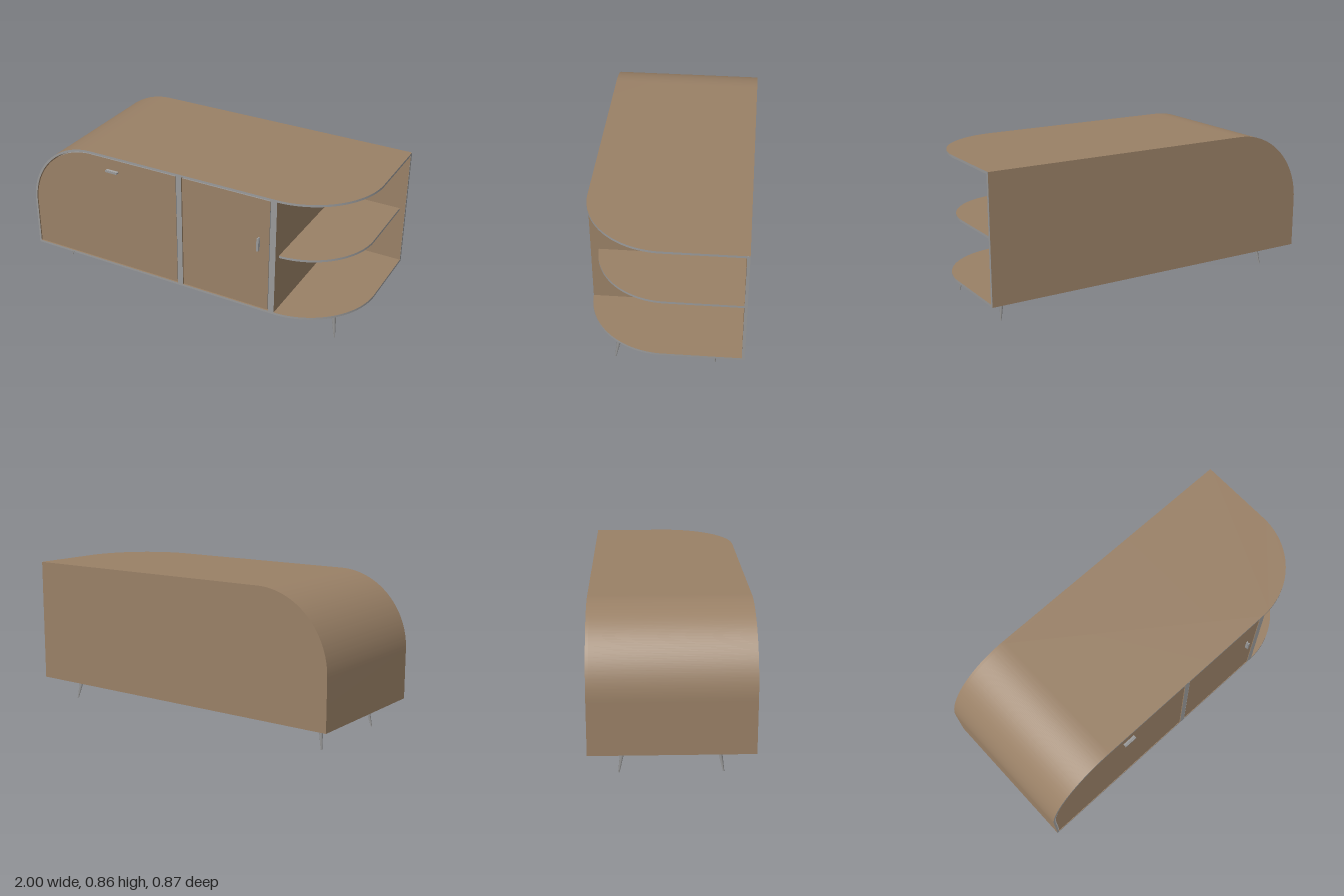
import * as THREE from 'three';
import { toCreasedNormals } from 'three/addons/utils/BufferGeometryUtils.js';

const Y0 = 0.147, Y1 = 0.858;          // cabinet bottom and top
const ZB = -0.436, ZI = -0.42, ZF = 0.42; // back, inner back, front
const T = 0.013, R = 0.425, SPLIT = 0.565;

export function createModel() {
  const model = new THREE.Group();
  model.name = 'sideboard';
  const wood = new THREE.MeshStandardMaterial({ color: 0x998066 });
  wood.name = 'wood';
  const grey = new THREE.MeshStandardMaterial({ color: 0x999999 });
  grey.name = 'greyEdge';

  const add = (name, geometry, material) => {
    const mesh = new THREE.Mesh(geometry, material);
    mesh.name = name;
    model.add(mesh);
    return mesh;
  };
  const extrude = (shape, depth) => toCreasedNormals(
    new THREE.ExtrudeGeometry(shape, { depth, bevelEnabled: false, curveSegments: 40 }), 0.4);
  const box = (name, x0, x1, y0, y1, z0, z1, material) => add(name,
    new THREE.BoxGeometry(x1 - x0, y1 - y0, z1 - z0)
      .translate((x0 + x1) / 2, (y0 + y1) / 2, (z0 + z1) / 2), material);

  // Front outline with a round upper left corner, inset by d
  const outline = (x1, d) => {
    const s = new THREE.Shape();
    s.moveTo(x1, Y0 + d);
    s.lineTo(x1, Y1 - d);
    s.lineTo(-1 + R, Y1 - d);
    s.absarc(-1 + R, Y1 - R, R - d, Math.PI / 2, Math.PI, false);
    s.lineTo(-1 + d, Y0 + d);
    s.closePath();
    return s;
  };

  // Curved outer shell, open towards the shelf end
  const shell = new THREE.Shape();
  shell.moveTo(SPLIT, Y1 - T);
  shell.lineTo(SPLIT, Y1);
  shell.lineTo(-1 + R, Y1);
  shell.absarc(-1 + R, Y1 - R, R, Math.PI / 2, Math.PI, false);
  shell.lineTo(-1, Y0);
  shell.lineTo(SPLIT, Y0);
  shell.lineTo(SPLIT, Y0 + T);
  shell.lineTo(-1 + T, Y0 + T);
  shell.lineTo(-1 + T, Y1 - R);
  shell.absarc(-1 + R, Y1 - R, R - T, Math.PI, Math.PI / 2, true);
  shell.closePath();
  add('shell', extrude(shell, ZF - ZI), [grey, wood]).position.z = ZI;

  // Back panel with a grey end strip
  add('backPanel', extrude(outline(0.999, 0), ZI - ZB), wood).position.z = ZB;
  box('backPanelEdge', 0.999, 1, Y0, Y1, ZB, ZI, grey);

  // Round-cornered boards of the open end, seen in plan
  const board = (name, x0, x1, zf, y) => {
    const r = x1 - 0.575, s = new THREE.Shape();
    s.moveTo(x0, -zf);
    s.lineTo(x1 - r, -zf);
    s.absarc(x1 - r, -zf + r, r, -Math.PI / 2, 0, false);
    s.lineTo(x1, -ZI);
    s.lineTo(x0, -ZI);
    s.closePath();
    add(name, extrude(s, T).rotateX(-Math.PI / 2), [wood, grey]).position.y = y;
  };
  board('openEndTop', SPLIT, 1, ZF, Y1 - T);
  board('openEndBottom', SPLIT, 1, ZF, Y0);
  board('openShelf', 0.583, 0.967, 0.376, 0.487);

  // Upright dividers with grey front edges
  for (const [name, x0, x1] of [['middleDivider', -0.02, 0.012], ['shelfDivider', 0.548, 0.583]])
    box(name, x0, x1, Y0 + T, Y1 - T, ZI, ZF, [wood, wood, wood, wood, grey, wood]);

  // Inset doors
  const doorZ = ZF - 0.018;
  add('largeDoor', extrude(outline(-0.024, T + 0.005), 0.016), [wood, grey]).position.z = doorZ;
  box('smallDoor', 0.016, 0.544, Y0 + T + 0.005, Y1 - T - 0.005, doorZ, doorZ + 0.016,
    [grey, grey, grey, grey, wood, wood]);

  // Waisted bar handles
  const handle = (name, length) => {
    const s = new THREE.Shape([[-0.006, -0.003], [0.006, -0.003], [0.006, 0], [0.0025, 0.007],
      [0.006, 0.014], [0.006, 0.017], [-0.006, 0.017], [-0.006, 0.014], [-0.0025, 0.007], [-0.006, 0]]
      .map(([a, b]) => new THREE.Vector2(a, b)));
    return add(name, extrude(s, length).translate(0, 0, -length / 2).rotateX(Math.PI / 2), grey);
  };
  // the profile depth runs along z and the bar along y
  handle('smallDoorHandle', 0.078).position.set(0.483, 0.569, ZF);
  const wide = handle('largeDoorHandle', 0.076);
  wide.position.set(-0.433, 0.769, ZF);
  wide.rotation.z = Math.PI / 2;

  // Splayed tapered legs, sheared so both ends stay level
  for (const sx of [-1, 1]) for (const [end, zt, zb] of [['front', 0.235, 0.262], ['back', -0.253, -0.28]]) {
    const geo = new THREE.CylinderGeometry(0.0145, 0.004, Y0, 24).translate(0, Y0 / 2, 0);
    const p = geo.attributes.position;
    for (let i = 0; i < p.count; i++) {
      const t = p.getY(i) / Y0;
      p.setX(i, p.getX(i) + sx * (0.883 - 0.024 * t));
      p.setZ(i, p.getZ(i) + zb + (zt - zb) * t);
    }
    add(end + (sx > 0 ? 'Left' : 'Right') + 'Leg', geo, grey);
  }
  return model;
}
